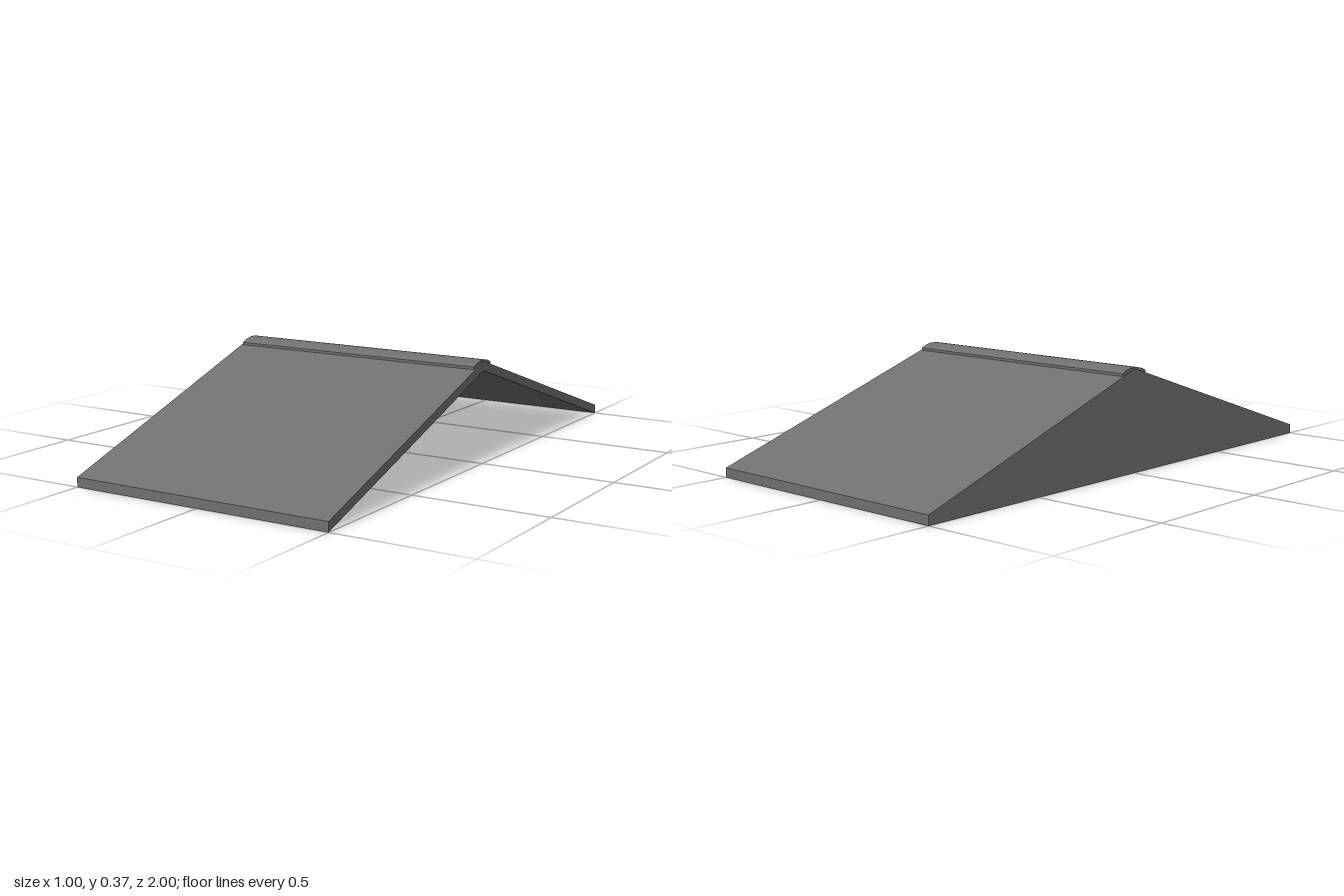
import * as THREE from 'three';
import { toCreasedNormals } from 'three/addons/utils/BufferGeometryUtils.js';

const RISE = 0.335;   // ridge height of the underside
const THICK = 0.034;  // vertical roof thickness

export function createModel() {
  const group = new THREE.Group();
  const grey = new THREE.MeshStandardMaterial({ color: 0x707070 });
  grey.name = 'slateGrey';

  // Extrudes a (z, y) cross-section along x, from x0 to x1
  function addProfile(name, shape, x0, x1) {
    const extruded = new THREE.ExtrudeGeometry(shape, {
      depth: x1 - x0, bevelEnabled: false, curveSegments: 16,
    });
    extruded.rotateY(Math.PI / 2).translate(x0, 0, 0);
    const mesh = new THREE.Mesh(toCreasedNormals(extruded, 0.35), grey);
    mesh.name = name;
    group.add(mesh);
  }
  const polygon = (points) => new THREE.Shape(points.map(([z, y]) => new THREE.Vector2(z, y)));

  // Two sloping roof slabs with plumb-cut eaves
  addProfile('roofSlabs', polygon([
    [-1, 0], [0, RISE], [1, 0], [1, THICK], [0, RISE + THICK], [-1, THICK],
  ]), -0.5, 0.5);

  // Gable wall closing the right end only
  addProfile('gableWall', polygon([[-1, 0], [1, 0], [0, RISE]]), -0.5, -0.47);

  // Rounded ridge cap, slightly shorter than the roof
  const w = 0.063, edgeY = 0.357, rise = 0.016;
  const radius = (w * w + rise * rise) / (2 * rise);
  const half = Math.asin(w / radius);
  const cap = new THREE.Shape();
  cap.moveTo(-w, 0.347);
  cap.lineTo(w, 0.347);
  cap.lineTo(w, edgeY);
  cap.absarc(0, edgeY + rise - radius, radius, Math.PI / 2 - half, Math.PI / 2 + half, false);
  cap.closePath();
  addProfile('ridgeCap', cap, -0.495, 0.495);

  return group;
}
